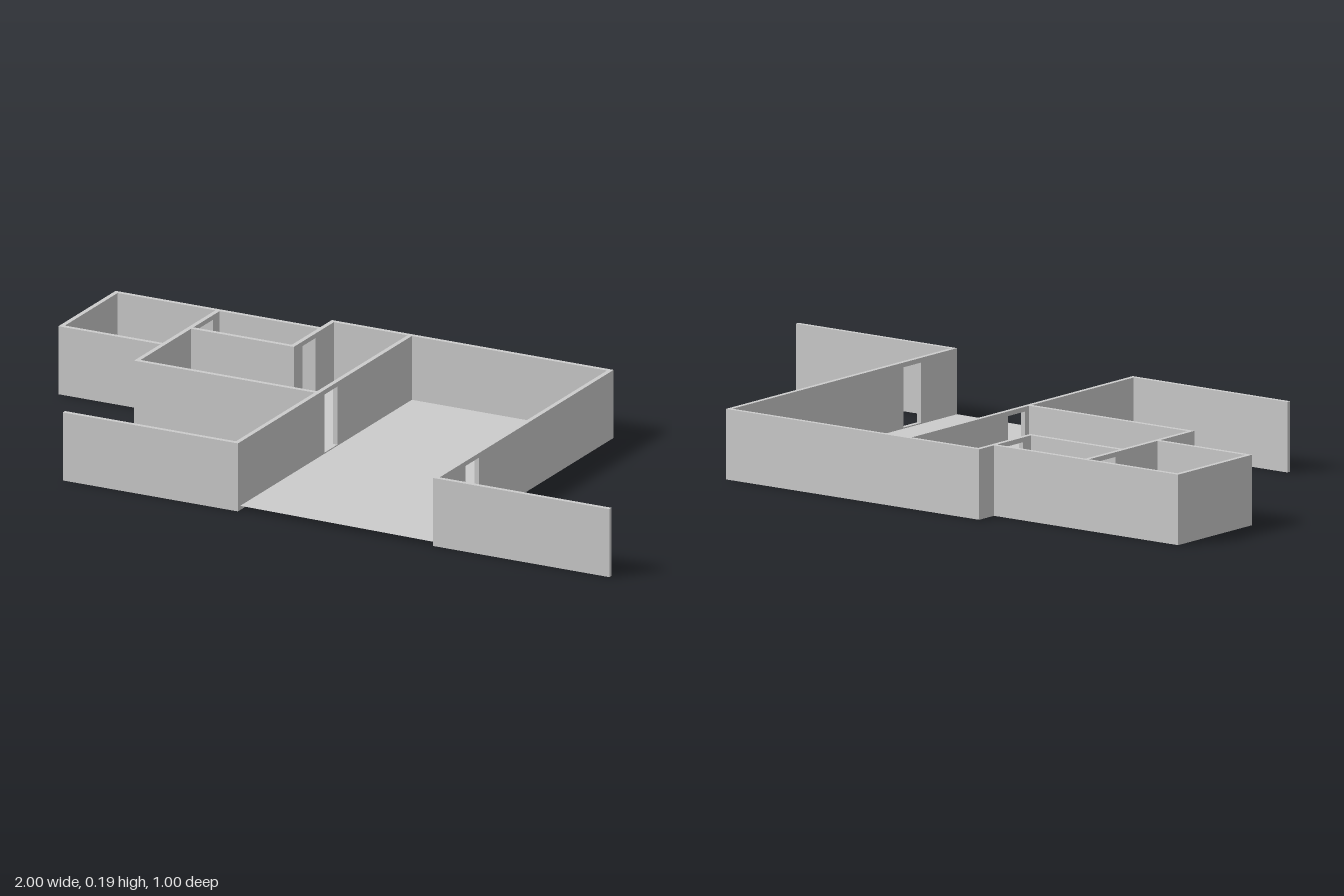
import * as THREE from 'three';

const H = 0.193;        // wall height
const T = 0.013;        // wall thickness
const FLOOR = 0.012;    // floor level
const DOOR = { width: 0.075, sill: 0.015, head: 0.18 };

const mat = new THREE.MeshStandardMaterial({ color: 0xcccccc });
const floorMat = new THREE.MeshStandardMaterial({ color: 0xcccccc, side: THREE.DoubleSide });

// Upright panel of the given length, with an optional doorway starting at `door`
function panel(name, length, door) {
  const shape = new THREE.Shape([
    new THREE.Vector2(0, 0), new THREE.Vector2(length, 0),
    new THREE.Vector2(length, H), new THREE.Vector2(0, H),
  ]);
  if (door !== undefined) {
    const a = door, b = door + DOOR.width;
    shape.holes.push(new THREE.Path([
      new THREE.Vector2(a, DOOR.sill), new THREE.Vector2(a, DOOR.head),
      new THREE.Vector2(b, DOOR.head), new THREE.Vector2(b, DOOR.sill),
    ]));
  }
  const geo = new THREE.ExtrudeGeometry(shape, { depth: T, bevelEnabled: false });
  const mesh = new THREE.Mesh(geo, mat);
  mesh.name = name;
  return mesh;
}

// Wall running along x, its back face at z
function wallX(name, z, x0, x1) {
  const m = panel(name, x1 - x0);
  m.position.set(x0, 0, z);
  return m;
}

// Wall running along z, its right face at x
function wallZ(name, x, z0, z1, doorZ) {
  const m = panel(name, z1 - z0, doorZ === undefined ? undefined : doorZ - z0);
  m.rotation.y = -Math.PI / 2;
  m.position.set(x + T, 0, z0);
  return m;
}

// Thin floor from its outline in x and z
function floor(name, points) {
  const shape = new THREE.Shape(points.map(([x, z]) => new THREE.Vector2(x, -z)));
  const geo = new THREE.ShapeGeometry(shape);
  geo.rotateX(-Math.PI / 2);
  geo.translate(0, FLOOR, 0);
  const mesh = new THREE.Mesh(geo, floorMat);
  mesh.name = name;
  return mesh;
}

export function createModel() {
  const house = new THREE.Group();
  house.name = 'floorPlanHouse';

  // Walls running front to back
  house.add(
    wallZ('endRoomOuterWall', -1, -0.435, -0.11),
    wallZ('endRoomInnerWall', -0.69, -0.435, 0.04, -0.383),
    wallZ('smallRoomInnerWall', -0.378, -0.5, -0.26, -0.383),
    wallZ('hallDividingWall', -0.141, -0.5, 0.5, -0.065),
    wallZ('hallOuterWall', 0.465, -0.5, 0.5, 0.265),
  );

  // Walls running side to side
  house.add(
    wallX('hallBackWall', -0.5, -0.128, 0.465),
    wallX('middleRoomBackWall', -0.5, -0.365, -0.141),
    wallX('endRoomBackWall', -0.435, -0.987, -0.69),
    wallX('smallRoomBackWall', -0.435, -0.677, -0.378),
    wallX('smallRoomFrontWall', -0.273, -0.677, -0.378),
    wallX('endRoomFrontWall', -0.123, -0.987, -0.69),
    wallX('middleRoomFrontWall', 0.027, -0.677, -0.141),
    wallX('rightWingWall', 0.487, -0.66, -0.141),
    wallX('leftWingWall', 0.487, 0.478, 1),
  );

  // Floors
  house.add(
    floor('hallFloor', [[-0.128, -0.487], [-0.128, 0.487], [0.465, 0.5], [0.465, -0.487]]),
    floor('middleRoomFloor', [[-0.365, -0.487], [-0.365, -0.26], [-0.677, -0.26],
      [-0.677, 0.027], [-0.141, 0.027], [-0.141, -0.487]]),
    floor('smallRoomFloor', [[-0.677, -0.422], [-0.677, -0.273], [-0.378, -0.273], [-0.378, -0.422]]),
    floor('endRoomFloor', [[-0.987, -0.422], [-0.987, -0.123], [-0.69, -0.123], [-0.69, -0.422]]),
  );

  return house;
}
